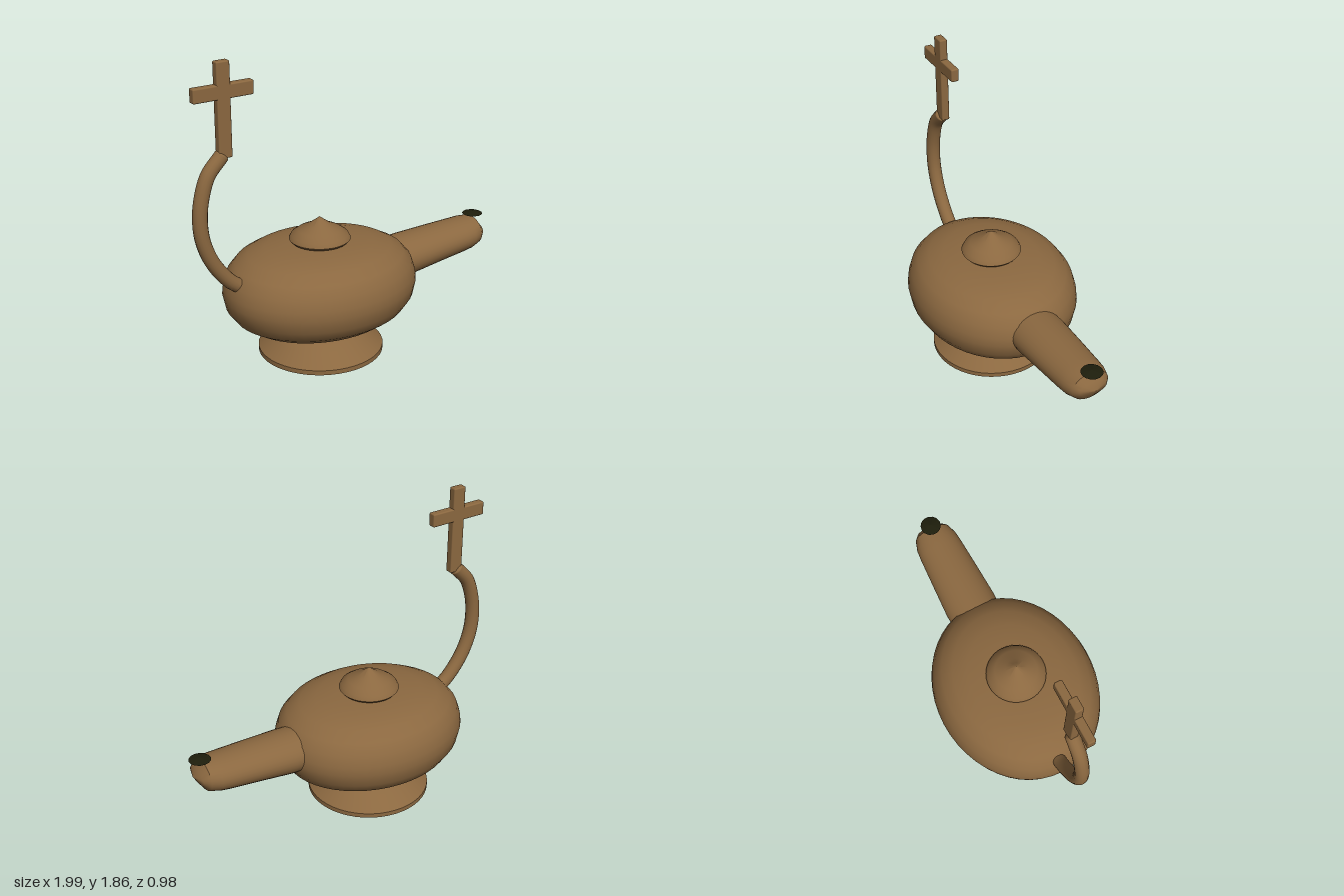
import * as THREE from 'three';
import { toCreasedNormals } from 'three/addons/utils/BufferGeometryUtils.js';
import { RoundedBoxGeometry } from 'three/addons/geometries/RoundedBoxGeometry.js';

export function createModel() {
  const model = new THREE.Group();
  const clay = new THREE.MeshStandardMaterial({ color: 0x8b6840 });
  clay.name = 'brownClay';
  const soot = new THREE.MeshStandardMaterial({ color: 0x1e1e0c });
  soot.name = 'darkSoot';

  function add(name, geometry, material = clay, x = 0, y = 0, z = 0) {
    const mesh = new THREE.Mesh(geometry, material);
    mesh.name = name;
    mesh.position.set(x, y, z);
    model.add(mesh);
    return mesh;
  }
  const turned = (profile, sides, crease) => toCreasedNormals(
    new THREE.LatheGeometry(profile.map(([r, y]) => new THREE.Vector2(r, y)), sides), crease);

  // Foot, oval body and pointed lid share one vertical axis
  const axisX = -0.2;
  add('foot', turned([
    [0, 0.005], [0.2, 0.007], [0.31, 0.018], [0.367, 0.04], [0.367, 0.068],
    [0.285, 0.135], [0.245, 0.165], [0.195, 0.185], [0.12, 0.195], [0, 0.2],
  ], 48, 0.7), clay, axisX);

  const body = turned([
    [0, 0.2], [0.17, 0.203], [0.29, 0.223], [0.375, 0.26], [0.435, 0.305],
    [0.475, 0.37], [0.49, 0.45], [0.485, 0.5], [0.467, 0.565], [0.425, 0.625],
    [0.36, 0.668], [0.275, 0.695], [0.17, 0.708], [0, 0.712],
  ], 48, 1.2);
  body.scale(1.205, 1, 1);
  add('body', body, clay, axisX);

  add('lid', turned([
    [0, 0.707], [0.12, 0.71], [0.165, 0.72], [0.178, 0.735], [0.165, 0.76],
    [0.125, 0.788], [0.065, 0.817], [0.03, 0.842], [0, 0.865],
  ], 40, 0.9), clay, axisX);

  // Spout: oval rings [x, centre y, half height, half depth] ending in a blunt nose
  const rings = [
    [0.2, 0.48, 0.125, 0.155], [0.4, 0.49, 0.122, 0.162], [0.6, 0.505, 0.112, 0.152],
    [0.8, 0.518, 0.103, 0.141], [0.86, 0.523, 0.1, 0.135], [0.92, 0.53, 0.09, 0.115],
    [0.953, 0.533, 0.045, 0.085], [0.98, 0.535, 0, 0],
  ];
  const spout = new THREE.LatheGeometry(rings.map((_, i) => new THREE.Vector2(1, i)), 32);
  const p = spout.attributes.position;
  for (let i = 0; i < p.count; i++) {
    const [x, cy, ry, rz] = rings[Math.round(p.getY(i))];
    p.setXYZ(i, x, cy - ry * p.getX(i), rz * p.getZ(i));
  }
  add('spout', toCreasedNormals(spout, 0.6));

  // Shallow dark cone floating over the spout end
  add('wick', new THREE.ConeGeometry(0.063, 0.014, 14), soot, 0.93, 0.642);

  // Curved handle with rounded ends
  const path = new THREE.CatmullRomCurve3([
    [-0.71, 0.55], [-0.79, 0.61], [-0.89, 0.74], [-0.945, 0.88], [-0.958, 1.0],
    [-0.945, 1.12], [-0.9, 1.25], [-0.815, 1.345],
  ].map(([x, y]) => new THREE.Vector3(x, y, 0)));
  add('handle', new THREE.TubeGeometry(path, 40, 0.042, 16));
  for (const t of [0, 1]) {
    const end = path.getPoint(t);
    const cap = add('handleEnd', new THREE.SphereGeometry(0.042, 16, 12), clay, end.x, end.y, 0);
    if (t === 1) {
      cap.scale.x = 0.4;
      cap.rotation.z = 0.84;
    }
  }

  // Cross finial on the handle
  add('crossUpright', new RoundedBoxGeometry(0.08, 0.53, 0.048, 2, 0.008), clay, -0.797, 1.6);
  add('crossArm', new RoundedBoxGeometry(0.36, 0.08, 0.048, 2, 0.008), clay, -0.797, 1.7);

  return model;
}
